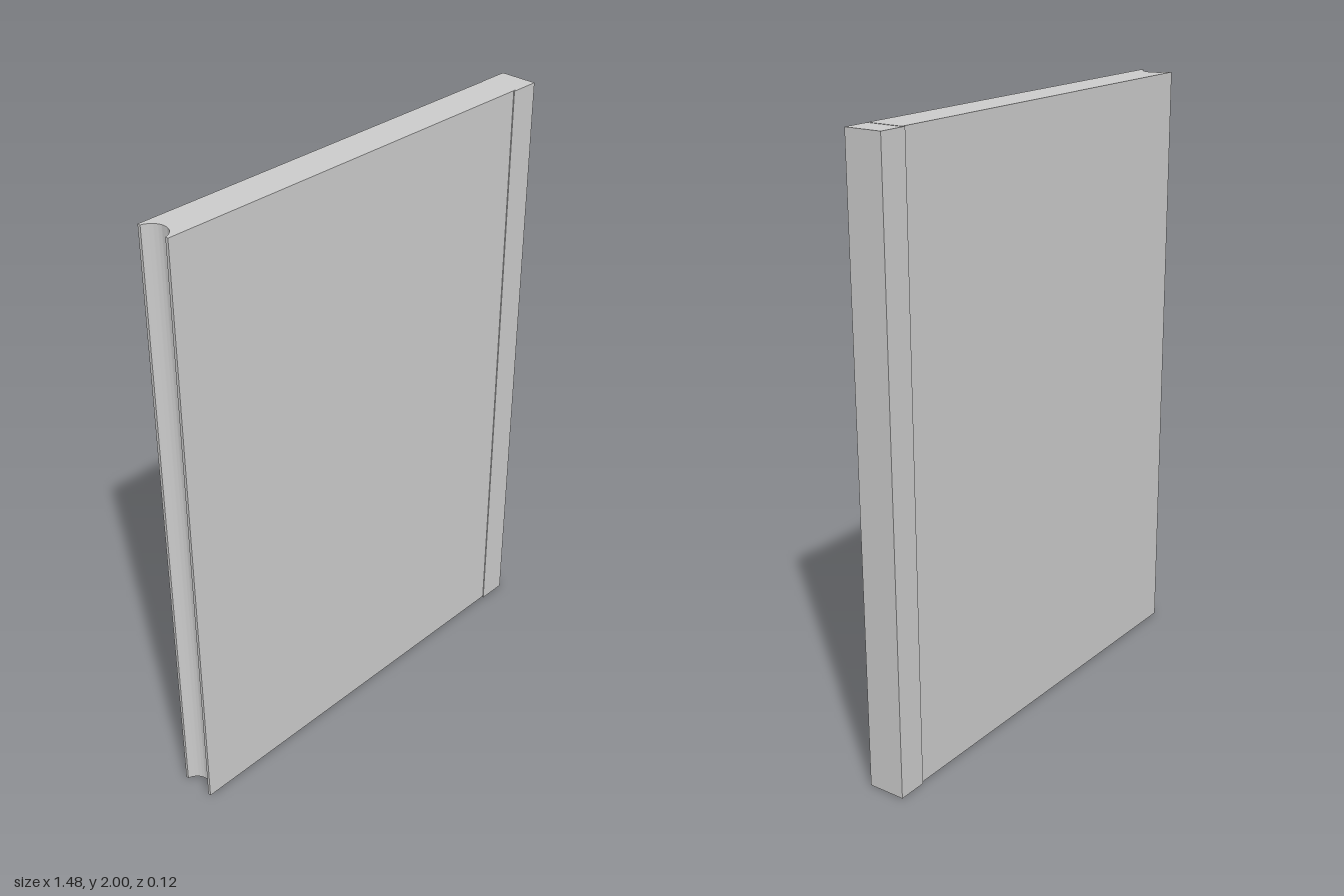
import * as THREE from 'three';
import { toCreasedNormals } from 'three/addons/utils/BufferGeometryUtils.js';

export function createModel() {
  const group = new THREE.Group();
  const material = new THREE.MeshStandardMaterial({ color: 0xcccccc });

  const add = (name, geometry) => {
    const mesh = new THREE.Mesh(geometry, material);
    mesh.name = name;
    group.add(mesh);
    return mesh;
  };

  // Panel: plan outline with a round groove along its right edge, extruded upward
  const edge = -0.738, end = 0.65, half = 0.059;
  const radius = 0.05, centre = -0.748;
  const angle = Math.acos((edge - centre) / radius);
  const lip = radius * Math.sin(angle);

  const outline = new THREE.Shape();
  outline.moveTo(edge, -half);
  outline.lineTo(end, -half);
  outline.lineTo(end, half);
  outline.lineTo(edge, half);
  outline.lineTo(edge, lip);
  outline.absarc(centre, 0, radius, angle, -angle, true);
  outline.closePath();

  const bottom = 0.004;
  const panel = new THREE.ExtrudeGeometry(outline, {
    depth: 2 - bottom, bevelEnabled: false, curveSegments: 24,
  });
  panel.rotateX(-Math.PI / 2);
  panel.translate(0, bottom, 0);
  add('groovedPanel', toCreasedNormals(panel, Math.PI / 6));

  // Slightly thicker strip closing the left edge
  const stripStart = 0.64, stripEnd = 0.738;
  add('edgeStrip', new THREE.BoxGeometry(stripEnd - stripStart, 1.999, 0.124))
    .position.set((stripStart + stripEnd) / 2, 0.9995, 0);

  return group;
}
